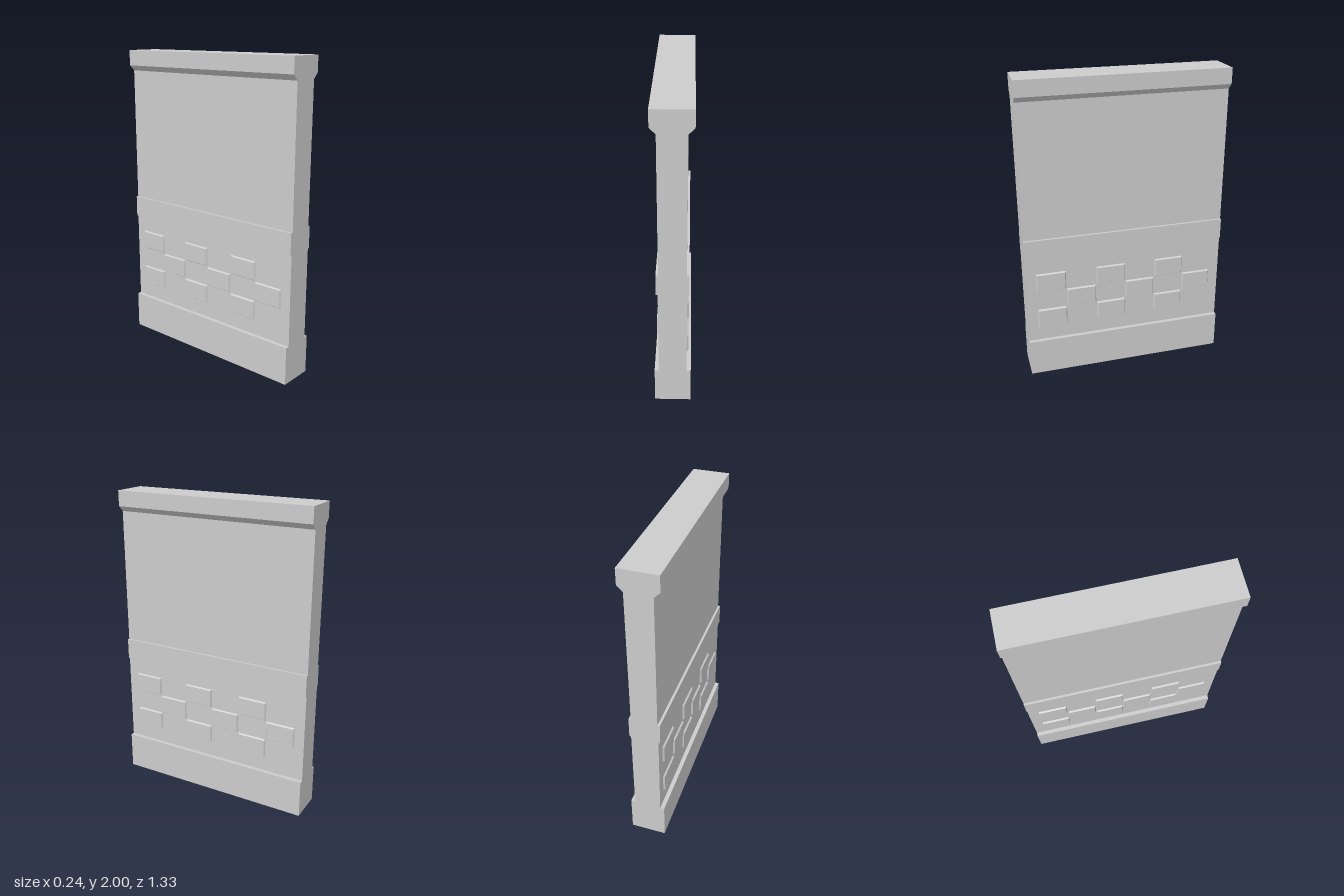
import * as THREE from 'three';

const material = new THREE.MeshStandardMaterial({ color: 0xcccccc, flatShading: true });
const DEPTH = 1.33;

// Raised tile: a box whose outer (+x) face is drawn in to form a chamfer
function tileGeometry(thick, height, width, inset) {
  const g = new THREE.BoxGeometry(thick, height, width);
  const p = g.attributes.position;
  for (let i = 0; i < p.count; i++) {
    if (p.getX(i) > 0) {
      p.setY(i, p.getY(i) - Math.sign(p.getY(i)) * inset);
      p.setZ(i, p.getZ(i) - Math.sign(p.getZ(i)) * inset);
    }
  }
  g.computeVertexNormals();
  return g;
}

export function createModel() {
  const model = new THREE.Group();
  model.name = 'wallPanel';

  // Wall section: plinth, lower shaft, rail band, upper shaft, chamfered cap
  const half = [
    [0.114, 0], [0.114, 0.25], [0.087, 0.25], [0.087, 0.845], [0.098, 0.845],
    [0.098, 0.985], [0.083, 0.985], [0.083, 1.865], [0.119, 1.9], [0.119, 2],
  ];
  const outline = [...half, ...half.map(([x, y]) => [-x, y]).reverse()];
  const section = new THREE.Shape(outline.map(([x, y]) => new THREE.Vector2(x, y)));
  const wallGeometry = new THREE.ExtrudeGeometry(section, { depth: DEPTH, bevelEnabled: false });
  wallGeometry.translate(0, 0, -DEPTH / 2);
  const wall = new THREE.Mesh(wallGeometry, material);
  wall.name = 'wall';
  model.add(wall);

  // Checkered tiles on both faces, the second face turned half round
  const geometry = tileGeometry(0.014, 0.132, 0.2, 0.009);
  for (const side of ['left', 'right']) {
    const tiles = new THREE.Group();
    tiles.name = side + 'Tiles';
    for (let row = 0; row < 3; row++) {
      for (let col = row % 2; col < 6; col += 2) {
        const tile = new THREE.Mesh(geometry, material);
        tile.name = 'tile';
        tile.position.set(0.091, 0.415 + row * 0.132, 0.5 - col * 0.2);
        tiles.add(tile);
      }
    }
    if (side === 'right') tiles.rotation.y = Math.PI;
    model.add(tiles);
  }
  return model;
}
